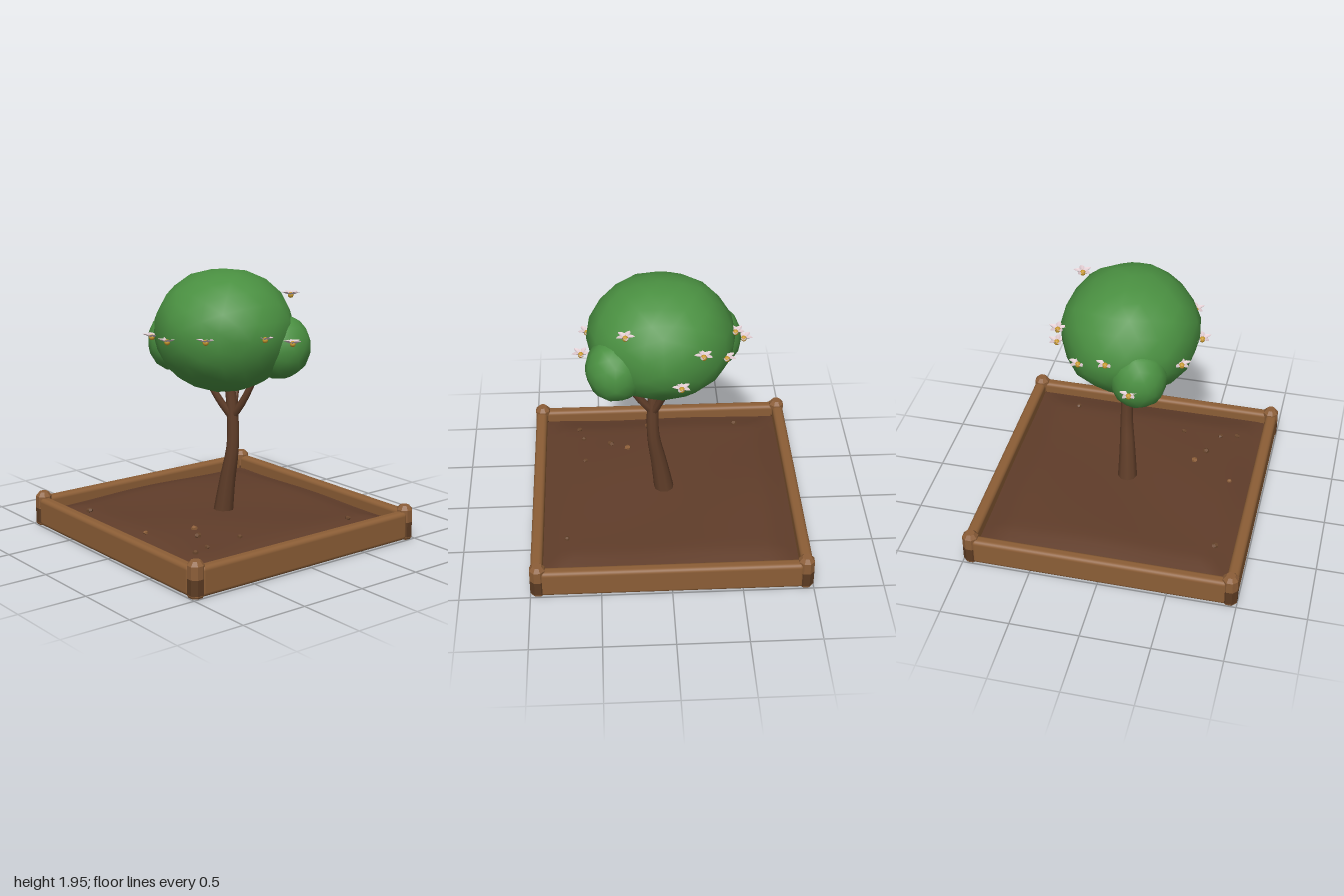
import * as THREE from 'three';
import { mergeVertices } from 'three/addons/utils/BufferGeometryUtils.js';
import { RoundedBoxGeometry } from 'three/addons/geometries/RoundedBoxGeometry.js';

const mat = (name, color, extra = {}) => {
  const m = new THREE.MeshStandardMaterial({ color, ...extra });
  m.name = name;
  return m;
};

const soilHeight = (x, z) => {
  const edge = Math.max(Math.abs(x), Math.abs(z));
  const drop = THREE.MathUtils.smoothstep(edge, 0.72, 0.93) * 0.05;
  return 0.17 + 0.012 * Math.sin(x * 2 + z * 4) * Math.cos(x * 3 - 1) - drop;
};

// Tube whose radius follows a list of values along its path
function taperedTube(points, radii, sides = 9, steps = 12) {
  const curve = new THREE.CatmullRomCurve3(points.map(p => new THREE.Vector3(...p)));
  const g = new THREE.TubeGeometry(curve, steps, 1, sides);
  const pos = g.attributes.position, v = new THREE.Vector3();
  for (let i = 0; i <= steps; i++) {
    const c = curve.getPointAt(i / steps);
    const f = (i / steps) * (radii.length - 1), k = Math.min(Math.floor(f), radii.length - 2);
    const r = THREE.MathUtils.lerp(radii[k], radii[k + 1], f - k);
    for (let j = 0; j <= sides; j++) {
      const n = i * (sides + 1) + j;
      v.fromBufferAttribute(pos, n).sub(c).multiplyScalar(r).add(c);
      pos.setXYZ(n, v.x, v.y, v.z);
    }
  }
  return g;
}

// Slightly lumpy, smooth ellipsoid of leaves
function leafBlob(rx, ry, rz, detail, lump) {
  let g = new THREE.IcosahedronGeometry(1, detail);
  g.deleteAttribute('normal');
  g.deleteAttribute('uv');
  g = mergeVertices(g, 1e-3);
  const p = g.attributes.position;
  for (let i = 0; i < p.count; i++) {
    const x = p.getX(i), y = p.getY(i), z = p.getZ(i);
    const s = 1 + lump * Math.sin(x * 6 + z * 3 + 1) * Math.cos(y * 5 - z * 4);
    p.setXYZ(i, x * s * rx, y * s * ry, z * s * rz);
  }
  g.computeVertexNormals();
  return g;
}

// Shallow five-petalled bowl
function petalBowl() {
  const g = new THREE.CircleGeometry(1, 30).rotateX(-Math.PI / 2);
  const p = g.attributes.position;
  for (let i = 1; i < p.count; i++) {
    const a = Math.atan2(p.getZ(i), p.getX(i));
    const r = 0.05 + 0.016 * Math.cos(5 * a) + (i % 2 ? 0.002 : -0.002);
    p.setXYZ(i, Math.cos(a) * r, 0.028, Math.sin(a) * r);
  }
  g.computeVertexNormals();
  return g;
}

export function createModel() {
  const root = new THREE.Group();
  root.name = 'treePlanter';
  const wood = mat('wood', 0x8c5e36);
  const post = mat('postWood', 0x8c5e38, { flatShading: true });
  const darkWood = mat('darkWood', 0x5c3b22, { flatShading: true });
  const soil = mat('soil', 0x603d2a, { side: THREE.DoubleSide });
  const bark = mat('bark', 0x623f2a, { side: THREE.DoubleSide });
  const leaf = mat('leaf', 0x4a9041);
  const petal = mat('petal', 0xe0cbd0, { side: THREE.DoubleSide });
  const pollen = mat('pollen', 0xc99a2e);
  const stone = mat('pebble', 0x68452c, { flatShading: true });

  const add = (name, geo, material, x = 0, y = 0, z = 0, parent = root) => {
    const m = new THREE.Mesh(geo, material);
    m.name = name;
    m.position.set(x, y, z);
    parent.add(m);
    return m;
  };

  // Frame: four rounded rails and four chamfered corner posts
  const railGeo = new RoundedBoxGeometry(1.86, 0.21, 0.085, 3, 0.03);
  const postProfile = [[0, 0], [0.05, 0], [0.059, 0.015], [0.059, 0.22], [0.034, 0.25], [0, 0.25]]
    .map(p => new THREE.Vector2(...p));
  const postGeo = new THREE.LatheGeometry(postProfile, 8, Math.PI / 8);
  const sleeveGeo = new THREE.CylinderGeometry(0.0597, 0.0597, 0.11, 8, 1, true, Math.PI / 8);
  for (let i = 0; i < 4; i++) {
    const side = new THREE.Group();
    side.name = 'frameSide' + (i + 1);
    side.rotation.y = i * Math.PI / 2;
    root.add(side);
    add('rail', railGeo, wood, 0, 0.105, 0.953, side);
    add('cornerPost', postGeo, post, 0.945, 0, 0.945, side);
    add('postStain', sleeveGeo, darkWood, 0.945, 0.075, 0.945, side);
  }

  // Uneven soil sheet
  const soilGeo = new THREE.PlaneGeometry(1.86, 1.86, 24, 24).rotateX(-Math.PI / 2);
  const sp = soilGeo.attributes.position;
  for (let i = 0; i < sp.count; i++) sp.setY(i, soilHeight(sp.getX(i), sp.getZ(i)));
  soilGeo.computeVertexNormals();
  add('soil', soilGeo, soil);

  // Pebbles: x, z, radius
  const pebbleGeo = new THREE.DodecahedronGeometry(1, 0);
  [[0.74, -0.58, 0.02], [0.605, 0.31, 0.02], [0.405, 0.52, 0.027], [0.615, 0.6, 0.02],
    [0.65, 0.725, 0.022], [0.11, 0.755, 0.018], [-0.585, 0.77, 0.026], [0.275, 0.455, 0.025]]
    .forEach(([x, z, r], i) => {
      const m = add('pebble', pebbleGeo, i === 5 || i === 7 ? post : stone, x, soilHeight(x, z) + 0.006, z);
      m.scale.set(r, r * 0.8, r);
      m.rotation.y = i;
    });

  // Curved trunk and three branches
  add('trunk', taperedTube(
    [[0.01, 0.13, -0.01], [0.05, 0.4, -0.02], [0.092, 0.66, -0.035], [0.095, 0.9, -0.03], [0.07, 1.2, -0.01]],
    [0.076, 0.06, 0.046, 0.042, 0.034]), bark);
  add('trunkBase', new THREE.CircleGeometry(0.074, 9).rotateX(Math.PI / 2), bark, 0.01, 0.133, -0.01);
  [[[0.1, 0.89, -0.03], [0.19, 1.01, -0.05], [0.31, 1.24, -0.085]],
    [[0.09, 0.89, -0.02], [0.05, 0.99, 0.04], [-0.02, 1.18, 0.13]],
    [[0.09, 0.89, -0.04], [0.05, 0.99, -0.08], [-0.01, 1.18, -0.17]]]
    .forEach(p => add('branch', taperedTube(p, [0.03, 0.026, 0.02], 7, 6), bark));

  // Crown with two side clumps
  add('crown', leafBlob(0.515, 0.437, 0.49, 3, 0.025), leaf, 0.035, 1.51, 0.005);
  add('rightClump', leafBlob(0.18, 0.225, 0.2, 2, 0.03), leaf, -0.365, 1.4, 0.15);
  add('leftClump', leafBlob(0.21, 0.23, 0.22, 2, 0.03), leaf, 0.36, 1.41, -0.25);

  // Blossoms around the crown
  const bowlGeo = petalBowl();
  const heartGeo = new THREE.SphereGeometry(0.021, 10, 8);
  [[-0.085, 1.39, -0.5], [-0.235, 1.61, -0.445], [-0.41, 1.47, -0.26], [-0.485, 1.55, -0.05],
    [-0.565, 1.38, 0.13], [-0.25, 1.46, 0.43], [0.055, 1.48, 0.515], [0.355, 1.51, 0.41],
    [0.55, 1.515, 0.05], [0.595, 1.47, -0.16], [0.29, 1.75, -0.4]]
    .forEach((p, i) => {
      const flower = new THREE.Group();
      flower.name = 'blossom';
      flower.position.set(...p);
      flower.rotation.y = i * 1.3;
      root.add(flower);
      add('petals', bowlGeo, petal, 0, 0, 0, flower);
      add('flowerHeart', heartGeo, pollen, 0, 0.004, 0, flower);
    });
  return root;
}
